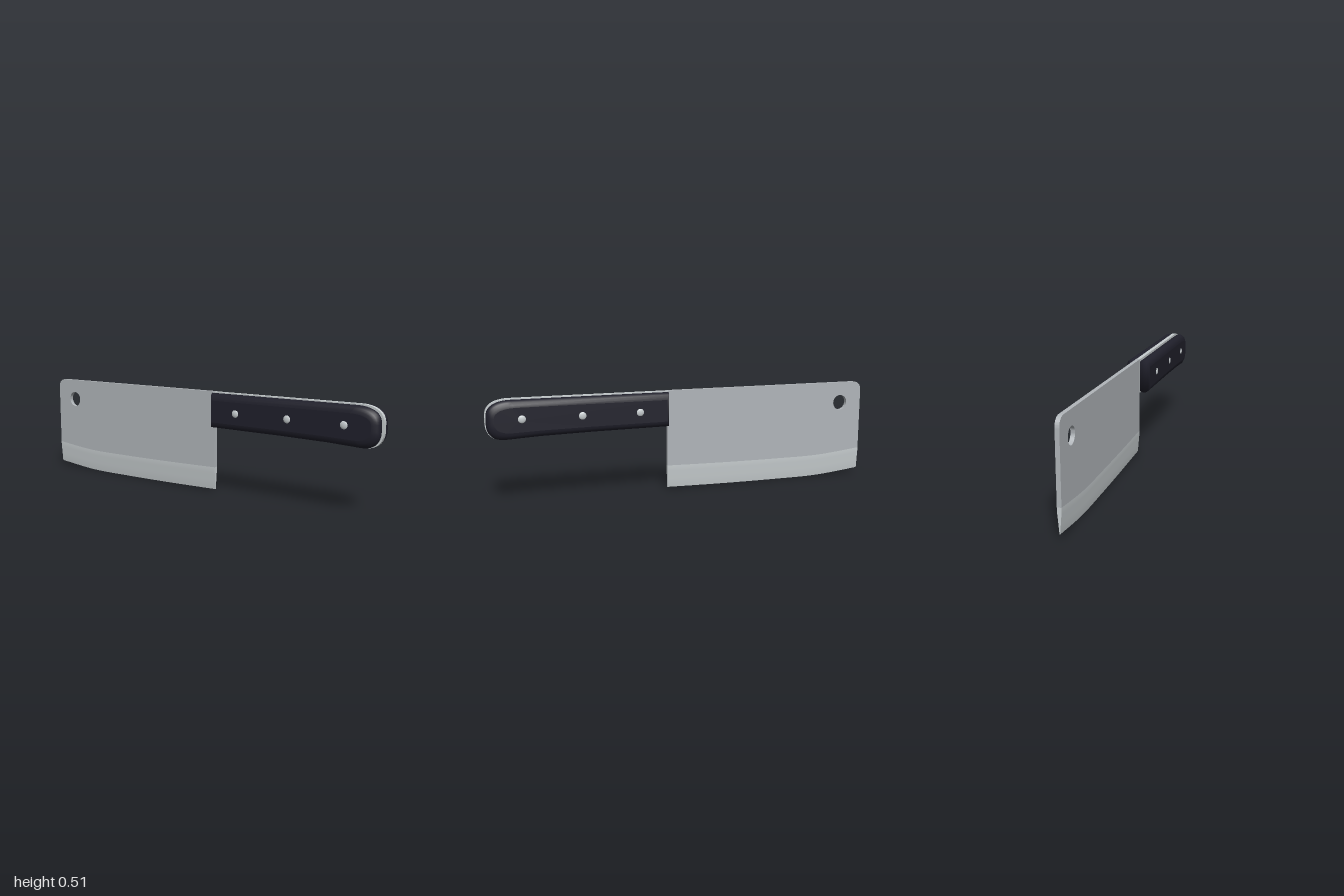
import * as THREE from 'three';
import { toCreasedNormals } from 'three/addons/utils/BufferGeometryUtils.js';

// Profiles are drawn in (u, y), where u runs toward the blade tip (u = -z).
const HEEL = -0.11;
const HALF = 0.01; // half thickness of the steel

const flat = (name, color, side = THREE.FrontSide) => {
  const m = new THREE.MeshStandardMaterial({ color, side });
  m.name = name;
  return m;
};

// Flat steel sheet cut from a profile, centred on x = 0
function sheet(shape) {
  const g = new THREE.ExtrudeGeometry(shape, { depth: 2 * HALF, bevelEnabled: false, curveSegments: 16 });
  g.translate(0, 0, -HALF).rotateY(Math.PI / 2);
  return toCreasedNormals(g, 0.6);
}

// Skin over a row of cross-sections, with flat caps at both ends
function loft(rings, closed) {
  const n = rings[0].length;
  const pos = [];
  const idx = [];
  rings.forEach(r => r.forEach(p => pos.push(...p)));
  for (let i = 0; i < rings.length - 1; i++) {
    for (let j = 0; j < (closed ? n : n - 1); j++) {
      const a = i * n + j, b = i * n + (j + 1) % n;
      idx.push(a, b, b + n, a, b + n, a + n);
    }
  }
  [[rings[0], true], [rings[rings.length - 1], false]].forEach(([ring, reverse]) => {
    const base = pos.length / 3;
    const centre = [0, 1, 2].map(k => ring.reduce((s, p) => s + p[k], 0) / n);
    pos.push(...centre);
    ring.forEach(p => pos.push(...p));
    for (let j = 0; j < n; j++) {
      const a = base + 1 + j, b = base + 1 + (j + 1) % n;
      if (reverse) idx.push(base, b, a);
      else idx.push(base, a, b);
    }
  });
  const g = new THREE.BufferGeometry();
  g.setAttribute('position', new THREE.Float32BufferAttribute(pos, 3));
  g.setIndex(idx);
  g.computeVertexNormals();
  return g;
}

// Handle outline, counter-clockwise
function handleShape() {
  const s = new THREE.Shape();
  s.moveTo(HEEL, 0.331);
  s.lineTo(HEEL, 0.509);
  s.lineTo(-0.89, 0.509);
  s.bezierCurveTo(-0.96, 0.507, -1, 0.48, -1, 0.43);
  s.lineTo(-1, 0.395);
  s.bezierCurveTo(-1, 0.34, -0.965, 0.313, -0.91, 0.315);
  s.lineTo(-0.75, 0.323);
  s.lineTo(-0.5, 0.328);
  s.closePath();
  return s;
}

// One rounded grip scale on the given side
function scaleGeometry(side) {
  let pts = handleShape().getPoints(10);
  if (pts[0].distanceTo(pts[pts.length - 1]) < 1e-6) pts.pop();
  if (THREE.ShapeUtils.area(pts) < 0) pts.reverse();
  if (side < 0) pts.reverse();
  const cu = (HEEL - 1) / 2, cy = 0.412, hu = 0.445, hy = 0.097;
  // distance from the centre plane, inset from the outline
  const rings = [
    [0.01, 0.012], [0.02, 0.006], [0.032, 0.003], [0.044, 0.006],
    [0.054, 0.014], [0.06, 0.026], [0.062, 0.038]
  ].map(([x, inset]) => pts.map(p => [
    side * x,
    cy + (p.y - cy) * (hy - inset) / hy,
    -(cu + (p.x - cu) * (hu - (p.x > cu ? Math.min(inset, 0.03) * 0.5 : inset)) / hu)
  ]));
  return loft(rings, true);
}

export function createModel() {
  const bladeSteel = flat('blade steel', 0xb1b6ba);
  const brightSteel = flat('bright steel', 0xc8ced0, THREE.DoubleSide);
  const grip = flat('dark grip', 0x20202b);

  const model = new THREE.Group();
  model.name = 'cleaver';
  const add = (name, geometry, material) => {
    const mesh = new THREE.Mesh(geometry, material);
    mesh.name = name;
    model.add(mesh);
    return mesh;
  };

  // Line where the flat blade meets the ground edge
  const grind = new THREE.SplineCurve([
    [HEEL, 0.125], [0.2, 0.118], [0.5, 0.115], [0.75, 0.117], [1, 0.14]
  ].map(p => new THREE.Vector2(...p))).getPoints(40);

  // Blade plate with a rounded top corner and a hanging hole
  const plate = new THREE.Shape(grind);
  plate.lineTo(1, 0.46);
  plate.quadraticCurveTo(1, 0.51, 0.95, 0.51);
  plate.lineTo(HEEL, 0.51);
  plate.closePath();
  const hole = new THREE.Path();
  hole.absarc(0.875, 0.4, 0.04, 0, Math.PI * 2, true);
  plate.holes.push(hole);
  add('bladePlate', sheet(plate), bladeSteel);

  // Tapered cutting edge
  const taper = [[0, 0.01], [0.012, 0.0099], [0.028, 0.009], [0.07, 0.0052], [0.115, 0.0015]];
  const section = [...taper, ...taper.map(([d, x]) => [d, -x]).reverse()];
  add('cuttingEdge', loft(grind.map(p => section.map(([d, x]) => [x, p.y - d, -p.x])), false), brightSteel);

  // Full tang between the grip scales
  add('tang', sheet(handleShape()), brightSteel);

  // Grip scales and domed rivets on both sides
  const dome = new THREE.SphereGeometry(0.02, 20, 12);
  for (const side of [1, -1]) {
    const label = side > 0 ? 'left' : 'right';
    add(label + 'GripScale', scaleGeometry(side), grip);
    [0.835, 0.55, 0.265].forEach((z, i) => {
      const rivet = add(label + 'Rivet' + (i + 1), dome, brightSteel);
      rivet.scale.x = 0.4;
      rivet.position.set(side * 0.059, 0.416, z);
    });
  }
  return model;
}
